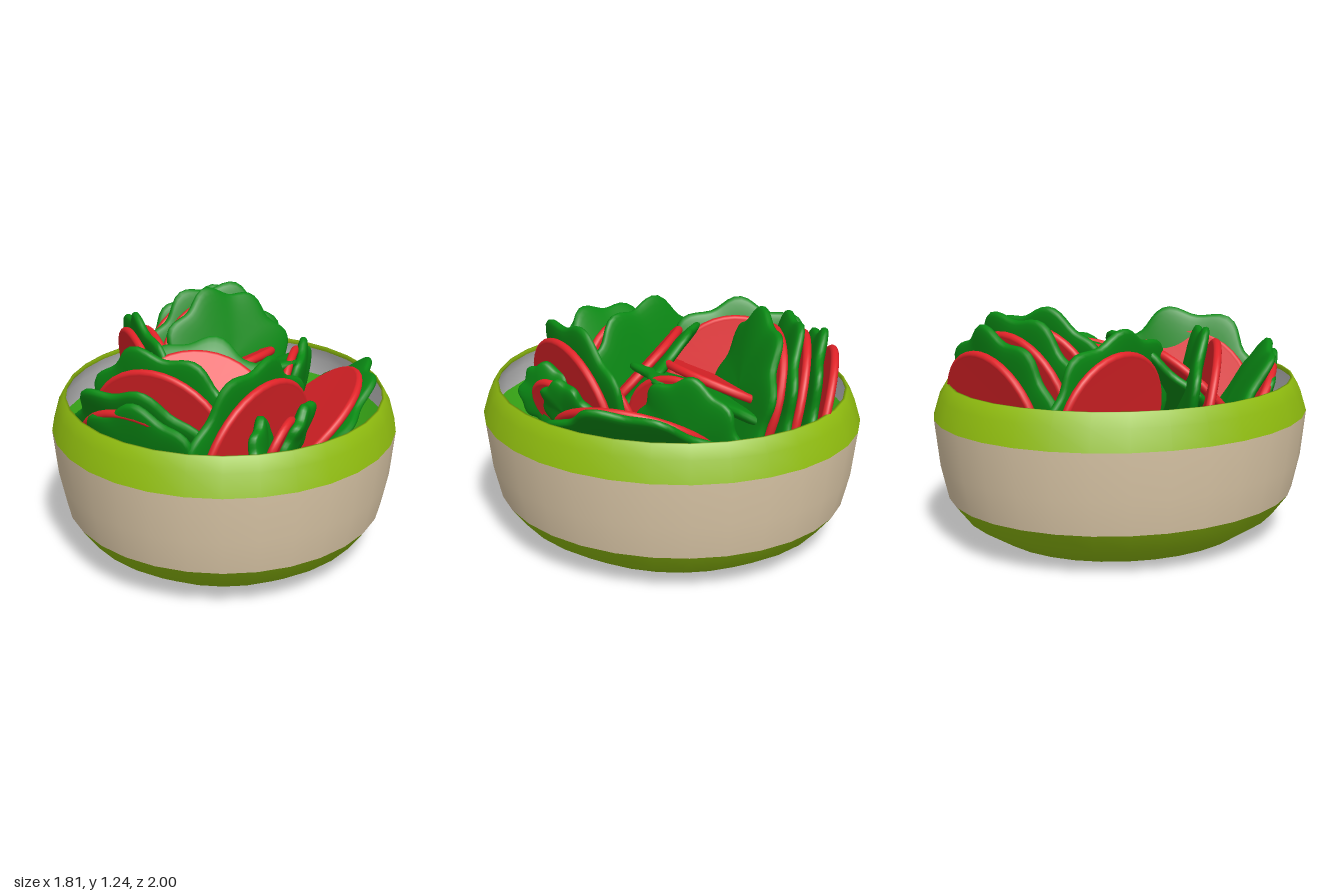
import * as THREE from 'three';

const mat = (color) => new THREE.MeshStandardMaterial({ color });
const rimGreen = mat(0x8fbc0f), beige = mat(0xdcc8a8), grey = mat(0xcccccc);
const floorGreen = mat(0x35a015), red = mat(0xe02328), leafGreen = mat(0x0a8a14);

// Oval ring or shell of the bowl: upward profiles face out, downward ones face in
function shell(name, profile, material) {
  const geo = new THREE.LatheGeometry(profile.map(([r, y]) => new THREE.Vector2(r, y)), 32);
  const mesh = new THREE.Mesh(geo, material);
  mesh.name = name;
  mesh.scale.x = 0.903;
  return mesh;
}

// Round slice with a flat face and rounded edge, facing +z
function sliceGeometry(r) {
  const t = 0.018;
  const face = (s) => [[0, s * t], [r - 0.028, s * t]];
  const pts = [...face(-1)];
  for (let i = 0; i <= 6; i++) {
    const a = -Math.PI / 2 + (i / 6) * Math.PI;
    pts.push([r - 0.022 + Math.cos(a) * 0.022, Math.sin(a) * 0.022]);
  }
  pts.push(...face(1).reverse());
  const geo = new THREE.LatheGeometry(pts.map(([x, y]) => new THREE.Vector2(x, y)), 40);
  return geo.rotateX(Math.PI / 2);
}

// Flat pillow with a softly lobed outline, facing +z
function leafGeometry(r, spin) {
  const geo = new THREE.SphereGeometry(1, 72, 16).rotateX(Math.PI / 2);
  const p = geo.attributes.position;
  for (let i = 0; i < p.count; i++) {
    const x = p.getX(i), y = p.getY(i), z = p.getZ(i);
    const a = Math.atan2(y, x) + spin;
    const rho = Math.hypot(x, y);
    const d = Math.pow(rho, 0.6);
    const lobes = 1 + d * (0.065 * Math.sin(8 * a) + 0.03 * Math.sin(3 * a + 1));
    const k = r * lobes * d / Math.max(rho, 1e-6);
    const thick = Math.sign(z) * Math.pow(Math.abs(z), 0.6) * 0.036;
    p.setXYZ(i, x * k, y * k, thick + 0.01 * d * d * Math.sin(4 * a));
  }
  geo.computeVertexNormals();
  return geo;
}

// Pieces: [kind, radius, centre, facing direction]
const front = [
  ['leaf', 0.42, [-0.10, 0.74, 0.19], [0.05, 0.64, 0.76]],
  ['slice', 0.41, [-0.14, 0.73, 0.28], [0.05, 0.66, 0.75]],
  ['slice', 0.41, [0.06, 0.64, 0.38], [-0.74, 0.32, -0.6]],
  ['leaf', 0.45, [0.11, 0.68, 0.43], [-0.77, 0.18, -0.61]],
  ['slice', 0.42, [0.16, 0.64, 0.48], [-0.77, 0.18, -0.61]],
  ['leaf', 0.17, [0.18, 0.73, 0.63], [0.9, 0.05, 0.2]],
  ['slice', 0.17, [0.27, 0.71, 0.53], [-0.8, 0.3, -0.3]],
  ['leaf', 0.17, [0.36, 0.74, 0.43], [-0.85, 0.3, -0.3]],
];
const frontLeft = [
  ['leaf', 0.44, [-0.28, 0.69, 0.22], [0.45, 0.2, -0.87]],
  ['slice', 0.41, [-0.31, 0.65, 0.29], [0.45, 0.22, -0.87]],
  ['leaf', 0.42, [-0.37, 0.66, 0.43], [0.42, 0.5, -0.75]],
  ['slice', 0.38, [-0.37, 0.61, 0.48], [0.42, 0.5, -0.75]],
  ['leaf', 0.38, [-0.36, 0.60, 0.55], [0.47, 0.35, -0.8]],
];
const right = [
  ['leaf', 0.46, [0.45, 0.62, 0.0], [-0.68, 0.73, 0]],
  ['slice', 0.44, [0.39, 0.62, 0.04], [-0.68, 0.73, 0]],
  ['slice', 0.30, [0.33, 0.70, -0.16], [-0.96, 0.15, -0.2]],
  ['leaf', 0.30, [0.39, 0.70, -0.23], [-0.96, 0.12, -0.2]],
];
const back = [
  ['slice', 0.38, [-0.10, 0.68, -0.76], [0.24, 0.22, 0.95]],
  ['leaf', 0.40, [-0.09, 0.75, -0.70], [0.27, 0.18, 0.95]],
  ['slice', 0.40, [-0.07, 0.74, -0.62], [0.3, 0.2, 0.95]],
  ['leaf', 0.42, [-0.05, 0.79, -0.56], [0.36, 0.2, 0.92]],
  ['slice', 0.37, [-0.02, 0.80, -0.47], [0.45, 0.25, 0.85]],
  ['leaf', 0.39, [0.02, 0.84, -0.41], [0.52, 0.3, 0.82]],
  ['leaf', 0.41, [0.04, 0.77, -0.23], [-0.35, 0.85, -0.25]],
  ['slice', 0.36, [-0.06, 0.81, -0.28], [-0.35, 0.85, -0.25]],
];
const left = [
  ['slice', 0.37, [-0.44, 0.70, -0.29], [0.9, 0.2, -0.35]],
  ['leaf', 0.42, [-0.39, 0.74, -0.28], [0.9, 0.2, -0.35]],
  ['slice', 0.38, [-0.33, 0.71, -0.26], [0.9, 0.2, -0.35]],
];

function stack(name, pieces, seed) {
  const group = new THREE.Group();
  group.name = name;
  pieces.forEach(([kind, r, centre, facing], i) => {
    const isLeaf = kind === 'leaf';
    const geo = isLeaf ? leafGeometry(r, seed + i * 0.9) : sliceGeometry(r);
    const mesh = new THREE.Mesh(geo, isLeaf ? leafGreen : red);
    mesh.name = isLeaf ? 'lettuceLeaf' : 'tomatoSlice';
    mesh.position.set(...centre);
    mesh.lookAt(new THREE.Vector3(...facing).add(mesh.position));
    group.add(mesh);
  });
  return group;
}

export function createModel() {
  const model = new THREE.Group();
  model.name = 'saladBowl';
  const bowl = new THREE.Group();
  bowl.name = 'bowl';
  bowl.add(
    shell('bowlBase', [[0, 0], [0.52, 0], [0.69, 0.03], [0.85, 0.13], [0.935, 0.24]], rimGreen),
    shell('bowlBand', [[0.935, 0.24], [0.975, 0.42], [1, 0.66]], beige),
    shell('bowlRim', [[1, 0.66], [0.965, 0.77], [0.925, 0.835], [0.912, 0.835], [0.92, 0.81]], rimGreen),
    shell('bowlInnerWall', [[0.92, 0.81], [0.95, 0.74], [0.96, 0.64]], grey),
    shell('bowlFloor', [[0.96, 0.64], [0.8, 0.49], [0.5, 0.36], [0, 0.3]], floorGreen),
  );
  model.add(
    bowl,
    stack('frontSalad', front, 0.4),
    stack('frontLeftSalad', frontLeft, 1.3),
    stack('rightSalad', right, 2.1),
    stack('backSalad', back, 0.2),
    stack('leftSalad', left, 3.2),
  );
  return model;
}
